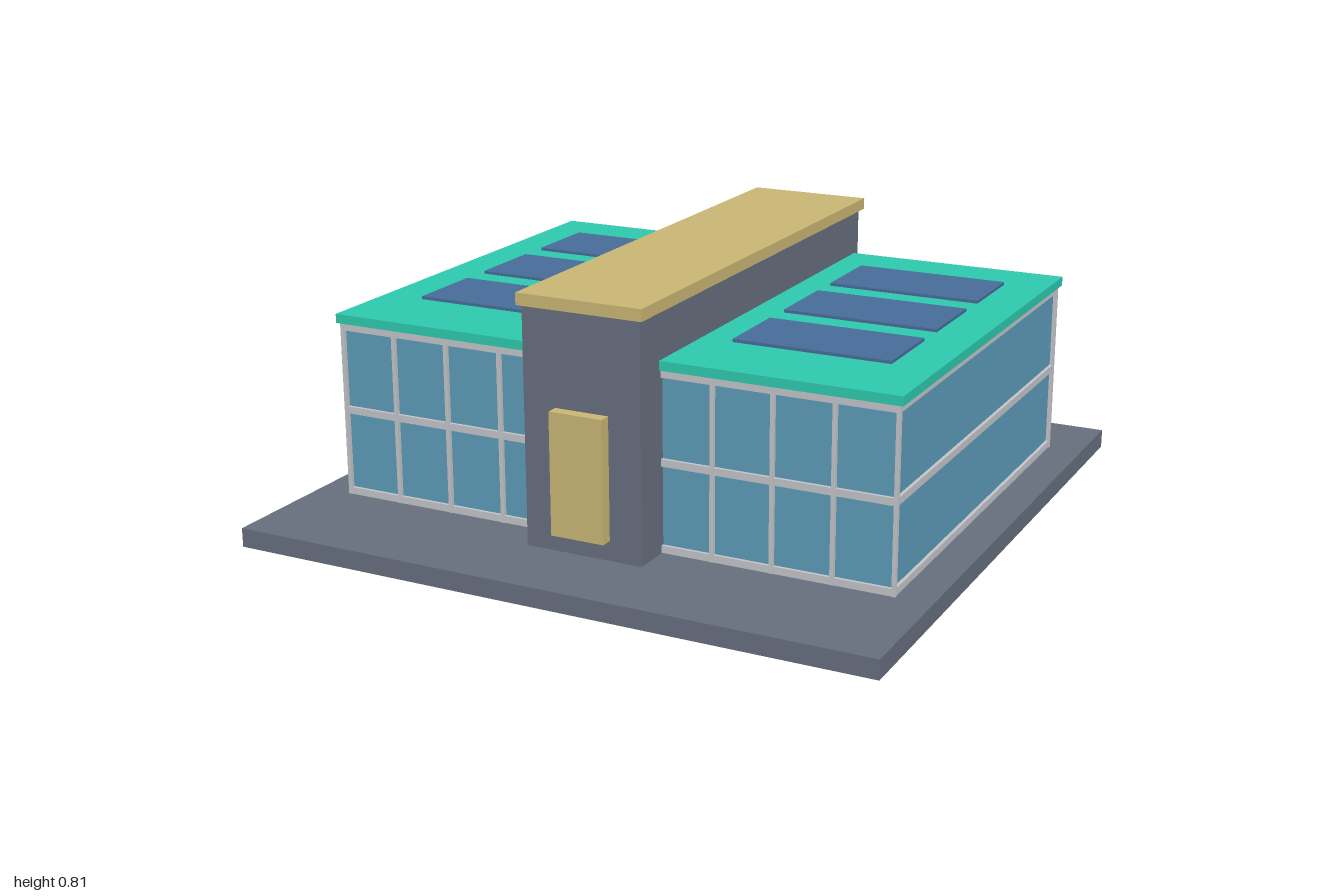
import * as THREE from 'three';

const material = (name, color) => {
  const m = new THREE.MeshStandardMaterial({ color });
  m.name = name;
  return m;
};

export function createModel() {
  const slate = material('slate', 0x666e7d);
  const glass = material('glass', 0x5c9ab8);
  const frame = material('frame grey', 0xc2c4c8);
  const roofGreen = material('roof green', 0x2dc9ae);
  const gold = material('gold', 0xc9b574);
  const panelBlue = material('panel blue', 0x466c98);

  const model = new THREE.Group();
  model.name = 'building';

  // Box given by its extents along each axis
  const box = (name, mat, [x0, x1], [y0, y1], [z0, z1], parent = model) => {
    const mesh = new THREE.Mesh(new THREE.BoxGeometry(x1 - x0, y1 - y0, z1 - z0), mat);
    mesh.position.set((x0 + x1) / 2, (y0 + y1) / 2, (z0 + z1) / 2);
    mesh.name = name;
    parent.add(mesh);
    return mesh;
  };

  // Ground slab
  box('baseSlab', slate, [-1, 1], [0, 0.058], [-1, 1]);

  // Central spine with its cap and door
  box('tower', slate, [-0.185, 0.185], [0.058, 0.77], [-0.803, 0.738]);
  box('towerCap', gold, [-0.197, 0.197], [0.77, 0.806], [-0.822, 0.75]);
  box('door', gold, [-0.084, 0.084], [0.118, 0.485], [0.738, 0.775]);

  // Wings on both sides of the spine
  const zBack = -0.763, zFront = 0.621, outer = 0.893, depth = 0.012;
  const rails = [[0.058, 0.08], [0.317, 0.339], [0.577, 0.6]];
  for (const side of [-1, 1]) {
    const wing = new THREE.Group();
    wing.name = side > 0 ? 'leftWing' : 'rightWing';
    model.add(wing);
    const span = (a, b) => (side > 0 ? [a, b] : [-b, -a]);

    box('glassBody', glass, span(0.18, outer - depth), [0.058, 0.592],
      [zBack + depth, zFront - depth], wing);
    box('roof', roofGreen, span(0.18, 0.902), [0.6, 0.628], [-0.772, 0.628], wing);

    // Horizontal rails on front, back and outer side
    for (const y of rails) {
      box('frontRail', frame, span(0.18, outer - 0.002), y, [zFront - depth, zFront - 0.002], wing);
      box('backRail', frame, span(0.18, outer - 0.002), y, [zBack + 0.002, zBack + depth], wing);
      box('sideRail', frame, span(outer - depth, outer - 0.002), y,
        [zBack + depth, zFront - depth], wing);
    }

    // Upright mullions, the last one forming the corner post
    for (const x of [0.342, 0.524, 0.706, 0.887]) {
      const w = span(x - 0.006, x + 0.006);
      box('frontMullion', frame, w, [0.058, 0.6], [zFront - depth, zFront], wing);
      box('backMullion', frame, w, [0.058, 0.6], [zBack, zBack + depth], wing);
    }

    // Solar panels along the roof
    for (let i = 0; i < 3; i++) {
      const z = -0.464 + i * 0.354;
      box('solarPanel', panelBlue, span(0.285, 0.768), [0.628, 0.637],
        [z - 0.127, z + 0.127], wing);
    }
  }
  return model;
}
